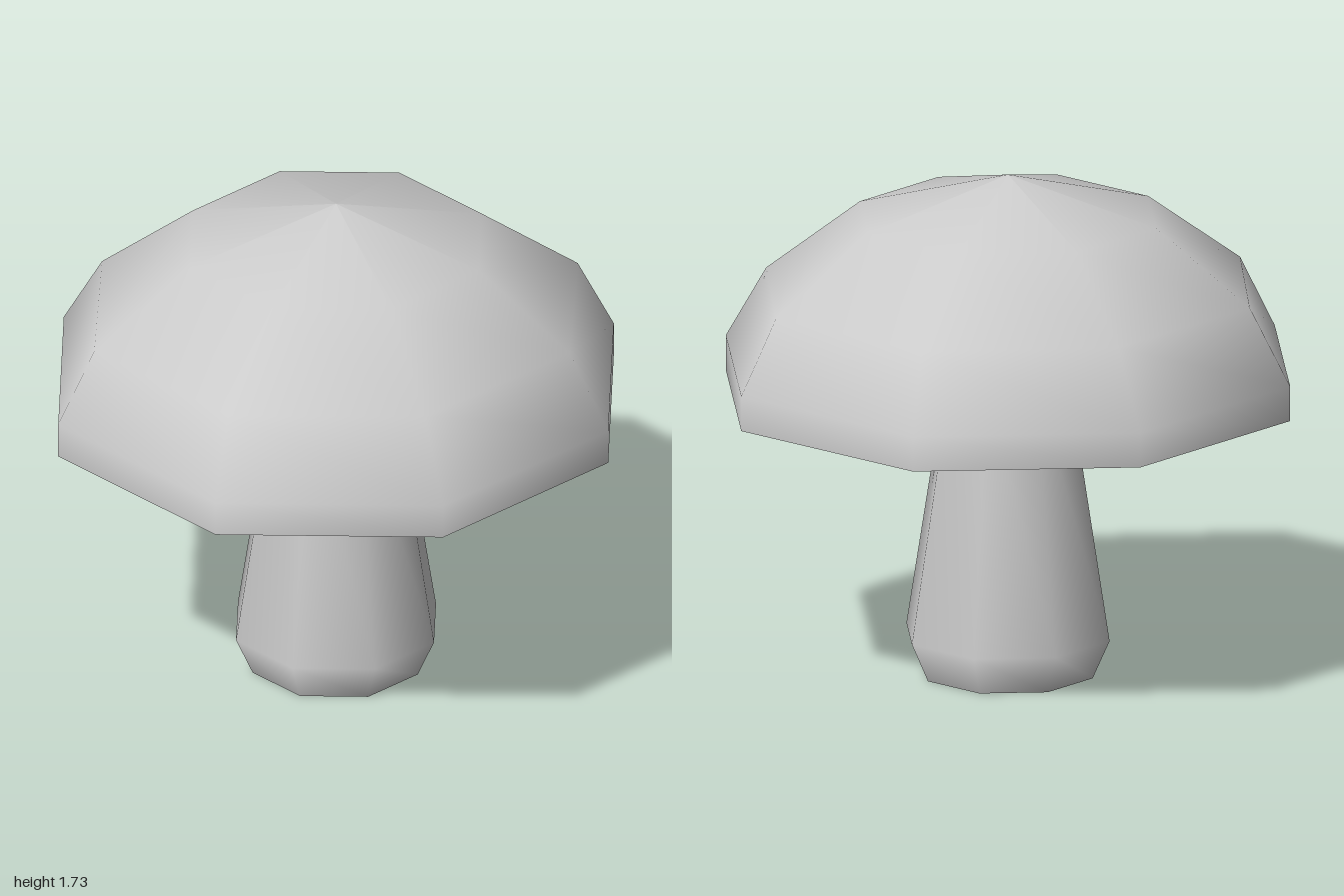
import * as THREE from 'three';

const SIDES = 8;
const material = new THREE.MeshStandardMaterial({ color: 0xcccccc });

// Eight-sided smooth surface of revolution; profile is a list of [radius, height]
function turned(name, profile) {
  const points = profile.map(([r, y]) => new THREE.Vector2(r, y));
  const mesh = new THREE.Mesh(new THREE.LatheGeometry(points, SIDES), material);
  mesh.name = name;
  return mesh;
}

export function createModel() {
  const model = new THREE.Group();
  model.name = 'mushroom';

  // Cap: outer dome, flat rim and hollow underside, kept apart for sharp edges
  const cap = new THREE.Group();
  cap.name = 'cap';
  const dome = turned('capDome', [[1, 0.96], [1, 1.08], [0.87, 1.335], [0.525, 1.59], [0, 1.73]]);
  // The middle ring is slightly narrower from front to back
  const pos = dome.geometry.attributes.position;
  for (let i = 0; i < pos.count; i++) {
    if (Math.abs(pos.getY(i) - 1.335) < 0.01) pos.setZ(i, pos.getZ(i) * 0.955);
  }
  cap.add(
    dome,
    turned('capRim', [[0.85, 0.96], [1, 0.96]]),
    turned('capUnderside', [[0, 1.17], [0.45, 1.14], [0.78, 1.05], [0.85, 0.96]])
  );

  // Stem: flared foot, tapering up into the hollow of the cap
  const stem = new THREE.Group();
  stem.name = 'stem';
  stem.add(
    turned('stemBody', [[0.3, 0], [0.36, 0.135], [0.215, 1.04], [0.21, 1.18]]),
    turned('stemBase', [[0, 0], [0.3, 0]])
  );

  model.add(cap, stem);
  return model;
}
